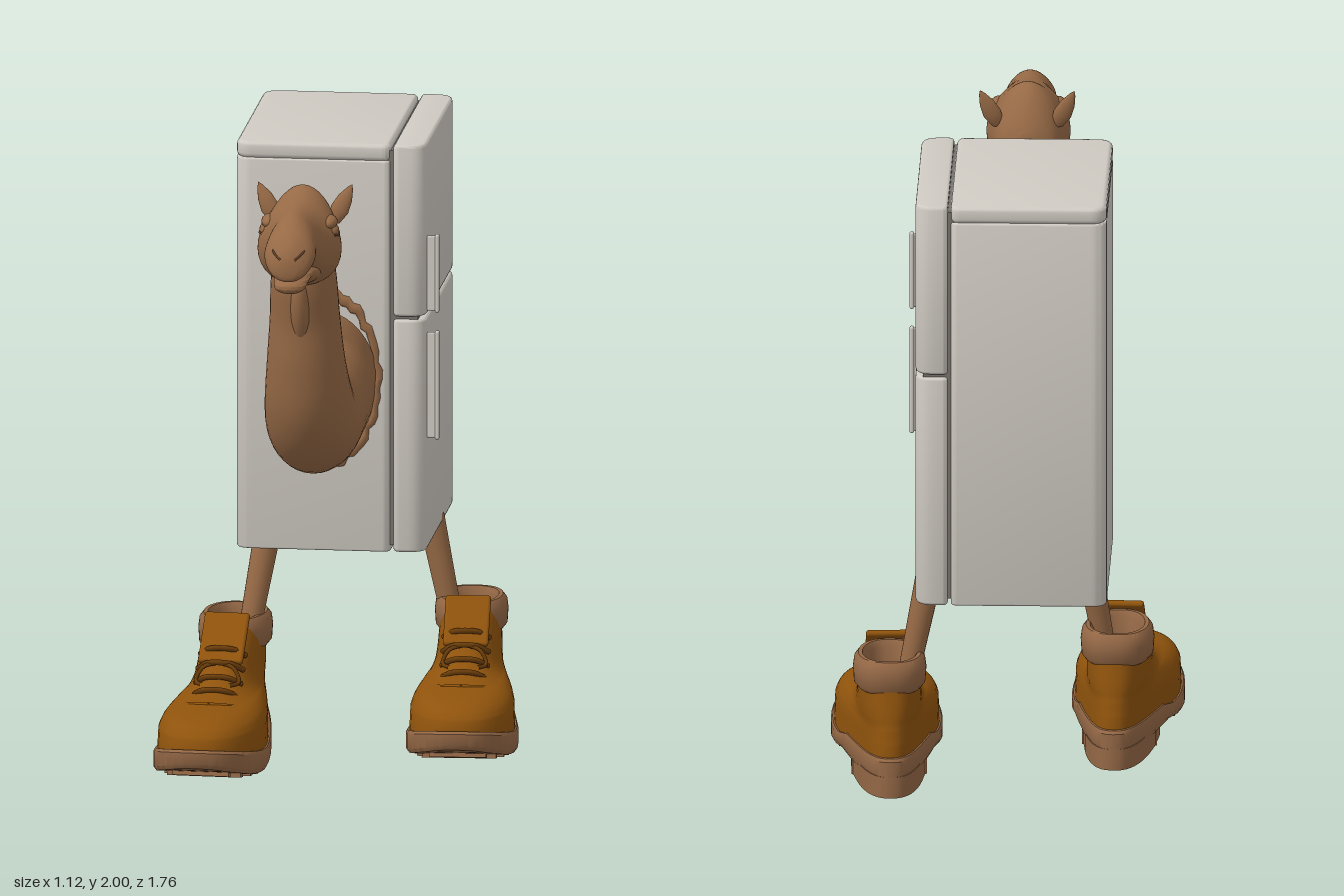
import * as THREE from 'three';
import { toCreasedNormals } from 'three/addons/utils/BufferGeometryUtils.js';
import { RoundedBoxGeometry } from 'three/addons/geometries/RoundedBoxGeometry.js';

const paint = (name, color) => {
  const m = new THREE.MeshStandardMaterial({ color });
  m.name = name;
  return m;
};
const enamel = paint('fridge enamel', 0xcfcac2);
const gasket = paint('dark gasket', 0x77736d);
const fur = paint('camel fur', 0x976a46);
const darkFur = paint('dark fur', 0x5c3d27);
const leather = paint('boot leather', 0x8f530c);
const sole = paint('sole and lining', 0x936745);
const lace = paint('lace', 0x6b3d0a);
leather.side = THREE.DoubleSide;

const CX = -0.05; // centre line of the neck and head

function add(parent, name, geometry, material, x = 0, y = 0, z = 0) {
  const m = new THREE.Mesh(geometry, material);
  m.name = name;
  m.position.set(x, y, z);
  parent.add(m);
  return m;
}

// Catmull-Rom interpolation of table rows
function smooth(rows, steps) {
  const out = [], at = (i) => rows[Math.max(0, Math.min(rows.length - 1, i))];
  for (let i = 0; i < rows.length - 1; i++) for (let s = 0; s < steps; s++) {
    const t = s / steps, a = at(i - 1), b = at(i), c = at(i + 1), d = at(i + 2);
    out.push(b.map((p, k) => {
      const cubic = 3 * (p - c[k]) + d[k] - a[k];
      const square = 2 * a[k] - 5 * p + 4 * c[k] - d[k];
      return p + 0.5 * t * (c[k] - a[k] + t * (square + t * cubic));
    }));
  }
  out.push(rows[rows.length - 1]);
  return out;
}

// Skin over rings of points, each counter-clockwise seen from the ring's far end
function loft(rings, capStart = false, capEnd = false, crease = 0.9) {
  const n = rings[0].length, pos = rings.flat(2), idx = [];
  for (let i = 0; i < rings.length - 1; i++) for (let j = 0; j < n; j++) {
    const a = i * n + j, b = i * n + (j + 1) % n;
    idx.push(a, b, b + n, a, b + n, a + n);
  }
  const cap = (ring, base, flip) => {
    const c = pos.length / 3;
    for (let k = 0; k < 3; k++) pos.push(ring.reduce((s, p) => s + p[k], 0) / n);
    for (let j = 0; j < n; j++) {
      const a = base + j, b = base + (j + 1) % n;
      idx.push(c, flip ? b : a, flip ? a : b);
    }
  };
  if (capStart) cap(rings[0], 0, true);
  if (capEnd) cap(rings[rings.length - 1], (rings.length - 1) * n, false);
  const g = new THREE.BufferGeometry();
  g.setAttribute('position', new THREE.Float32BufferAttribute(pos, 3));
  g.setIndex(idx);
  return toCreasedNormals(g, crease);
}

const around = (n, f) => Array.from({ length: n }, (_, j) => f((j / n) * Math.PI * 2));

// Upright slab with rounded vertical corners (rl on the -x side, rr on the +x side)
function slab(x0, x1, y0, y1, z0, z1, rl, rr, bevel = 0.01) {
  const b = bevel, s = new THREE.Shape();
  const l = x0 + b, r = x1 - b, d = -z1 + b, u = -z0 - b;
  s.moveTo(l + rl, d).lineTo(r - rr, d).quadraticCurveTo(r, d, r, d + rr);
  s.lineTo(r, u - rr).quadraticCurveTo(r, u, r - rr, u);
  s.lineTo(l + rl, u).quadraticCurveTo(l, u, l, u - rl);
  s.lineTo(l, d + rl).quadraticCurveTo(l, d, l + rl, d);
  const g = new THREE.ExtrudeGeometry(s, {
    depth: y1 - y0 - 2 * b, bevelSize: b, bevelThickness: b, bevelSegments: 3, curveSegments: 8 });
  return toCreasedNormals(g.rotateX(-Math.PI / 2).translate(0, y0 + b, 0), 0.6);
}

function buildFridge() {
  const g = new THREE.Group();
  g.name = 'fridge';
  add(g, 'cabinet', slab(-0.34, 0.157, 0.67, 1.947, -0.88, -0.12, 0.045, 0.02, 0.006), enamel);
  add(g, 'cabinetTop', slab(-0.34, 0.157, 1.946, 2, -0.88, -0.12, 0.04, 0.015, 0.014), enamel);
  add(g, 'doorSeal', new THREE.BoxGeometry(0.12, 1.29, 0.73), gasket, 0.185, 1.335, -0.5);
  add(g, 'lowerDoor', slab(0.166, 0.27, 0.67, 1.43, -0.88, -0.12, 0.01, 0.05), enamel);
  add(g, 'upperDoor', slab(0.166, 0.27, 1.44, 2, -0.88, -0.12, 0.01, 0.05), enamel);
  for (const [y0, y1] of [[1.03, 1.385], [1.445, 1.7]]) {
    const h = y1 - y0, y = (y0 + y1) / 2;
    add(g, 'handleWeb', new RoundedBoxGeometry(0.04, h - 0.01, 0.012, 2, 0.005), enamel, 0.28, y, -0.18);
    add(g, 'handleGrip', new RoundedBoxGeometry(0.014, h, 0.022, 3, 0.006), enamel, 0.301, y, -0.18);
  }
  return g;
}

function buildNeckAndHead() {
  const g = new THREE.Group();
  g.name = 'camel';
  // neck: z, y, half width, half depth
  const path = smooth([[-0.15, 1.235, 0.165, 0.275], [-0.08, 1.2, 0.157, 0.225], [0, 1.18, 0.152, 0.2],
    [0.12, 1.17, 0.15, 0.187], [0.25, 1.2, 0.147, 0.18], [0.34, 1.29, 0.138, 0.162],
    [0.395, 1.42, 0.124, 0.135], [0.422, 1.56, 0.112, 0.122], [0.45, 1.69, 0.105, 0.122],
    [0.48, 1.82, 0.09, 0.1]], 5);
  add(g, 'neck', loft(path.map(([z, y, w, d], i) => {
    const p = path[Math.max(0, i - 1)], q = path[Math.min(path.length - 1, i + 1)];
    const len = Math.hypot(q[0] - p[0], q[1] - p[1]), tz = (q[0] - p[0]) / len, ty = (q[1] - p[1]) / len;
    return around(40, (a) => [CX + w * Math.cos(a), y + d * Math.sin(a) * tz, z - d * Math.sin(a) * ty]);
  }), false, true), fur);

  // torn rim where the neck leaves the cabinet
  const rim = new THREE.TorusGeometry(1, 0.07, 6, 60), rp = rim.attributes.position;
  for (let i = 0; i < rp.count; i++) {
    const a = Math.atan2(rp.getY(i), rp.getX(i));
    const k = 0.99 + 0.025 * Math.sin(a * 23) + 0.02 * Math.sin(a * 14 + 1);
    rp.setXYZ(i, rp.getX(i) * k * 0.165, rp.getY(i) * k * 0.275, rp.getZ(i) * 0.18);
  }
  rim.computeVertexNormals();
  add(g, 'tornRim', rim, fur, CX + 0.005, 1.235, -0.117);

  // head and jaw: z, top, bottom, half width
  const skull = (rows, taper) => loft(smooth(rows, 4).map(([z, top, bot, w]) => around(36, (a) => [
    CX + w * Math.cos(a) * (1 - taper * Math.sin(a)),
    (top + bot) / 2 + (top - bot) / 2 * Math.sin(a), z])), true, true);
  add(g, 'head', skull([[0.355, 1.86, 1.77, 0.04], [0.38, 1.91, 1.72, 0.085], [0.42, 1.965, 1.69, 0.105],
    [0.47, 2, 1.68, 0.115], [0.53, 1.985, 1.685, 0.13], [0.58, 1.975, 1.695, 0.13], [0.64, 1.967, 1.725, 0.1],
    [0.7, 1.963, 1.765, 0.08], [0.76, 1.953, 1.79, 0.078], [0.82, 1.922, 1.785, 0.08],
    [0.86, 1.883, 1.77, 0.062], [0.878, 1.85, 1.775, 0.035], [0.883, 1.825, 1.795, 0.01]], 0.16), fur);
  add(g, 'lowerJaw', skull([[0.58, 1.8, 1.7, 0.08], [0.66, 1.8, 1.715, 0.075], [0.72, 1.79, 1.738, 0.062],
    [0.77, 1.778, 1.735, 0.056], [0.82, 1.768, 1.722, 0.05], [0.845, 1.76, 1.728, 0.035],
    [0.855, 1.75, 1.738, 0.008]], 0), fur);
  const throat = add(g, 'throat', new THREE.SphereGeometry(1, 20, 14), fur, CX, 1.6, 0.525);
  throat.scale.set(0.035, 0.13, 0.048);
  throat.rotation.x = 0.3;

  const earShape = new THREE.LatheGeometry([[0, 0], [0.02, 0.015], [0.03, 0.055], [0.024, 0.095], [0.01, 0.13],
    [0, 0.145]].map(([r, y]) => new THREE.Vector2(r, y)), 16);
  for (const s of [-1, 1]) {
    const ear = add(g, 'ear', earShape, fur, CX + s * 0.088, 1.862, 0.43);
    ear.scale.z = 0.55;
    ear.rotation.set(-0.15, 0, -s * 0.45);
    const brow = add(g, 'brow', new THREE.SphereGeometry(1, 16, 12), fur, CX + s * 0.094, 1.9, 0.56);
    brow.scale.set(0.028, 0.022, 0.055);
    const eye = add(g, 'closedEye', new THREE.SphereGeometry(1, 16, 12), fur, CX + s * 0.102, 1.873, 0.565);
    eye.scale.set(0.026, 0.024, 0.038);
    const curve = (pts) => new THREE.TubeGeometry(new THREE.CatmullRomCurve3(
      pts.map(([x, y, z]) => new THREE.Vector3(CX + s * x, y, z))), 12, 0.004, 6);
    add(g, 'lashLine', curve([[0.117, 1.874, 0.53], [0.127, 1.862, 0.565], [0.115, 1.866, 0.6]]), darkFur);
    add(g, 'nostril', curve([[0.052, 1.873, 0.84], [0.045, 1.862, 0.857], [0.022, 1.842, 0.876]]), darkFur);
  }
  return g;
}

// Linear lookup in a table of [z, y]
function lookup(table, z) {
  const i = Math.max(1, table.findIndex((p) => p[0] >= z));
  const [a, b] = [table[i - 1], table[i]];
  return THREE.MathUtils.lerp(a[1], b[1], THREE.MathUtils.clamp((z - a[0]) / (b[0] - a[0]), 0, 1));
}
const soleTop = (z) => lookup([[-0.46, 0.13], [-0.1, 0.115], [-0.03, 0.088], [0.1, 0.08], [0.2, 0.088],
  [0.33, 0.112], [0.46, 0.142]], z);
const soleBottom = (z) => lookup([[-0.46, 0.05], [-0.05, 0.05], [0.08, 0.025], [0.18, 0.016], [0.3, 0.032],
  [0.4, 0.06], [0.46, 0.085]], z);

// Egg-shaped foot outline; y is a number or a rule of z, xs squeezes the width
function footRing(y, zb, zf, wh, wb, xs = 1, lo = -1, hi = 1) {
  return around(48, (a) => {
    const c = Math.cos(a), s = Math.sin(a);
    const z = THREE.MathUtils.clamp((zf + zb) / 2 + c * (zf - zb) / 2, lo, hi);
    const w = THREE.MathUtils.lerp(wh, wb, THREE.MathUtils.smoothstep(c, -1, 1));
    return [xs * w * Math.sign(s) * Math.abs(s) ** 0.8, typeof y === 'number' ? y : y(z), z];
  });
}

function buildBoot() {
  const g = new THREE.Group();
  g.name = 'boot';
  const edge = (y, xs, inset = 0) => footRing(y, -0.45 + inset, 0.45 - inset, 0.115, 0.212, xs);
  add(g, 'sole', loft([edge(soleBottom, 0, 0.01), edge(soleBottom, 0.96, 0.01), edge((z) => soleBottom(z) + 0.012, 1),
    edge((z) => soleTop(z) - 0.01, 1), edge(soleTop, 0.97, 0.008), edge(soleTop, 0, 0.008)], false, false, 0.6), sole);
  for (const [lo, hi] of [[-0.45, -0.185], [-0.155, -0.075]]) {
    const ring = (y) => footRing(y, -0.45, 0.3, 0.115, 0.125, 1, lo, hi);
    add(g, 'heelBlock', loft([ring(0), ring(0.07)], true, true, 0.5), sole);
  }
  for (let i = 0; i < 5; i++) {
    const z = 0.1 + i * 0.06;
    const lug = add(g, 'treadLug', new THREE.BoxGeometry(0.31 - i * i * 0.008, 0.03, 0.038), sole, 0, soleBottom(z) + 0.002, z);
    lug.rotation.x = -Math.atan((soleBottom(z + 0.03) - soleBottom(z - 0.03)) / 0.06);
  }
  // upper: y, back, front, heel half width, ball half width
  const levels = smooth([[0.165, -0.425, 0.427, 0.108, 0.195], [0.19, -0.42, 0.405, 0.108, 0.182],
    [0.21, -0.417, 0.365, 0.106, 0.16], [0.222, -0.414, 0.31, 0.106, 0.14], [0.232, -0.412, 0.23, 0.105, 0.122],
    [0.25, -0.41, 0.14, 0.105, 0.108], [0.28, -0.405, 0.07, 0.105, 0.1], [0.33, -0.395, 0.01, 0.104, 0.094],
    [0.39, -0.385, -0.06, 0.1, 0.088], [0.425, -0.378, -0.1, 0.096, 0.08]], 3);
  add(g, 'upper', loft([footRing((z) => soleTop(z) - 0.01, -0.428, 0.43, 0.108, 0.2),
    ...levels.map((r) => footRing(...r))]), leather);
  // padded collar: y, growth
  add(g, 'collar', loft([[0.325, 0], [0.34, 0.012], [0.385, 0.015], [0.415, 0.011], [0.432, -0.002], [0.432, -0.015],
    [0.41, -0.026], [0.27, -0.03]].map(([y, d]) => footRing(y, -0.385 - d, -0.115 + d, 0.106 + d, 0.098 + d)),
  false, true), sole);
  const tongue = add(g, 'tongue', new RoundedBoxGeometry(0.145, 0.19, 0.022, 3, 0.01), leather, 0, 0.388, -0.052);
  tongue.rotation.x = -0.8;

  // laces and eyestay edges
  const tube = (pts, r) => new THREE.TubeGeometry(new THREE.CatmullRomCurve3(
    pts.map((p) => new THREE.Vector3(...p))), 16, r, 6);
  for (const [y, z] of [[0.258, 0.13], [0.288, 0.075], [0.325, 0.035], [0.362, -0.008]]) {
    add(g, 'lace', tube([[-0.075, y - 0.025, z - 0.03], [-0.04, y, z], [0, y + 0.006, z + 0.008], [0.04, y, z],
      [0.075, y - 0.025, z - 0.03]], 0.009), lace);
  }
  for (const s of [-1, 1]) {
    add(g, 'laceEnd', tube([[0, 0.33, 0.035], [s * 0.05, 0.315, 0.05], [s * 0.07, 0.275, 0.065],
      [s * 0.045, 0.27, 0.1]], 0.007), lace);
    add(g, 'eyestayEdge', tube([[0, 0.234, 0.215], [s * 0.06, 0.228, 0.2], [s * 0.105, 0.215, 0.14],
      [s * 0.125, 0.19, 0.06]], 0.007), leather);
  }
  return g;
}

function buildLeg(points) {
  const [a, b] = points.map((p) => new THREE.Vector3(...p));
  const leg = new THREE.Mesh(new THREE.CylinderGeometry(0.043, 0.032, a.distanceTo(b), 20), fur);
  leg.name = 'leg';
  leg.position.copy(a).lerp(b, 0.5);
  leg.quaternion.setFromUnitVectors(new THREE.Vector3(0, 1, 0), a.clone().sub(b).normalize());
  return leg;
}

export function createModel() {
  const model = new THREE.Group();
  model.name = 'camelFridge';
  model.add(buildFridge(), buildNeckAndHead());
  model.add(buildLeg([[0.232, 0.69, -0.58], [0.318, 0.26, -0.585]]));
  model.add(buildLeg([[-0.257, 0.69, -0.29], [-0.328, 0.26, -0.212]]));
  for (const [s, z, stretch] of [[1, -0.35, 1], [-1, -0.005, 1.055]]) {
    const boot = buildBoot();
    boot.position.set(s * 0.372, 0, z);
    boot.rotation.y = s * 0.05;
    boot.scale.z = stretch;
    model.add(boot);
  }
  return model;
}
